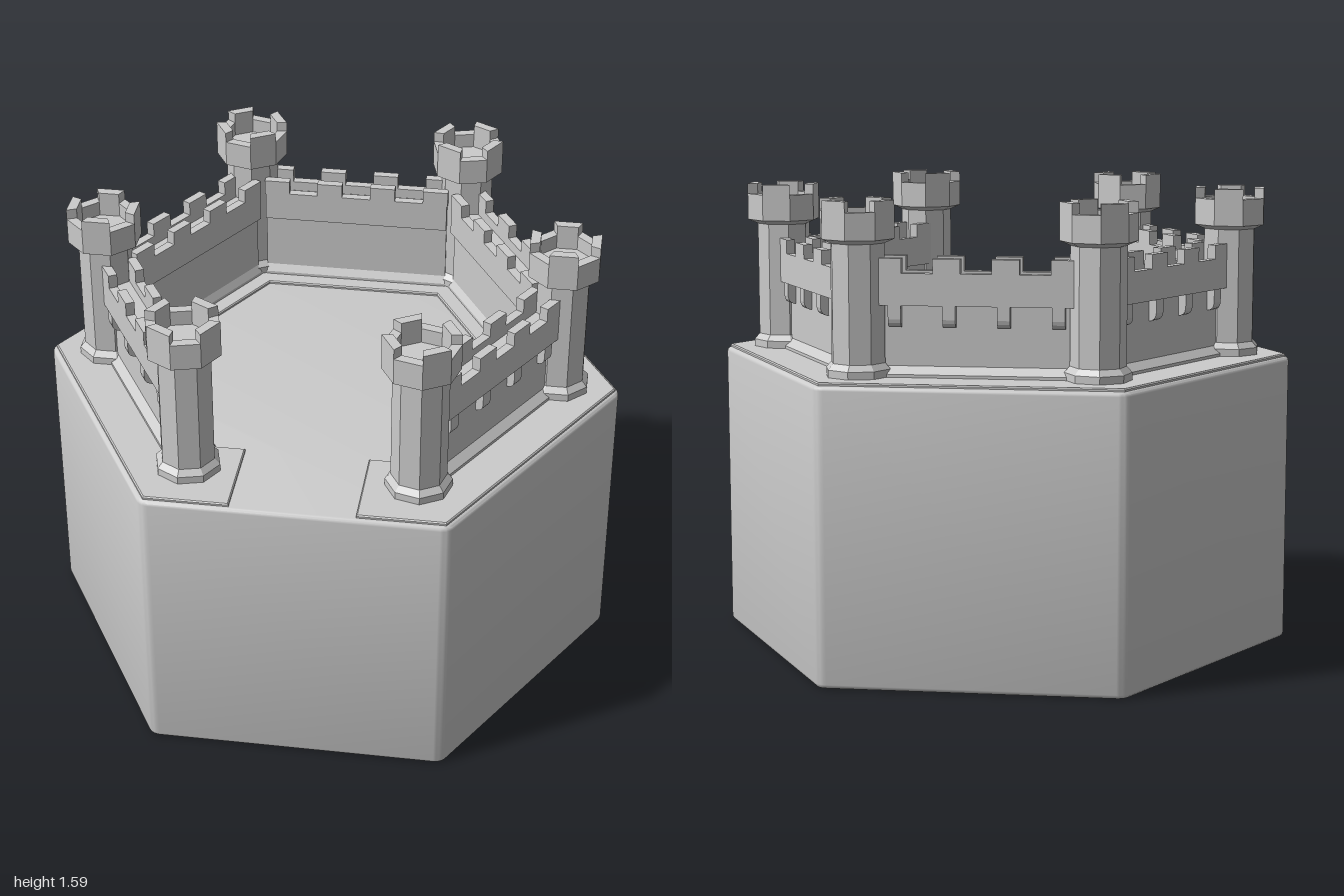
import * as THREE from 'three';
import { toCreasedNormals } from 'three/addons/utils/BufferGeometryUtils.js';

const STEP = Math.PI / 3;
const DECK = 1.01;

export function createModel() {
  const model = new THREE.Group();
  const stone = new THREE.MeshStandardMaterial({ color: 0xcccccc });
  const faceted = new THREE.MeshStandardMaterial({ color: 0xcccccc, flatShading: true });

  const add = (parent, name, geometry, material = faceted) => {
    const mesh = new THREE.Mesh(geometry, material);
    mesh.name = name;
    parent.add(mesh);
    return mesh;
  };
  const group = (name) => {
    const g = new THREE.Group();
    g.name = name;
    model.add(g);
    return g;
  };
  // corner k of a hexagon, counted from the front towards the left
  const corner = (r, k) => new THREE.Vector2(r * Math.sin(k * STEP), r * Math.cos(k * STEP));
  // extrudes a plan drawn in (x, z) upwards from y0 to y1
  const slab = (shape, y0, y1, bevel = 0, segments = 3) => {
    const g = new THREE.ExtrudeGeometry(shape, {
      depth: y1 - y0 - 2 * bevel, bevelEnabled: bevel > 0, bevelSize: bevel,
      bevelThickness: bevel, bevelSegments: segments, curveSegments: 5,
    });
    return g.rotateX(-Math.PI / 2).translate(0, y0 + bevel, 0);
  };
  const plan = (points) => new THREE.Shape(points.map((p) => new THREE.Vector2(p.x, -p.y)));

  // hexagonal plinth with softened edges
  const hex = new THREE.Shape();
  for (let k = 0; k < 6; k++) {
    const c = corner(0.986, k);
    const a = c.clone().lerp(corner(0.986, k - 1), 0.02);
    const b = c.clone().lerp(corner(0.986, k + 1), 0.02);
    if (k === 0) hex.moveTo(a.x, -a.y);
    else hex.lineTo(a.x, -a.y);
    hex.quadraticCurveTo(c.x, -c.y, b.x, -b.y);
  }
  hex.closePath();
  add(model, 'plinth', toCreasedNormals(slab(hex, 0, 1.0, 0.015), 0.6), stone);

  // raised rampart deck around the sunken courtyard, open at the gate road
  const along = (r, t) => corner(r, 0).lerp(corner(r, 1), t);
  const deck = [along(0.98, 0.28)];
  for (let k = 6; k >= 1; k--) deck.push(corner(0.98, k));
  deck.push(along(0.98, 0.71), along(0.625, 0.83));
  for (let k = 1; k <= 6; k++) deck.push(corner(0.625, k));
  deck.push(along(0.625, 0.155));
  add(model, 'rampartDeck', slab(plan(deck), 0.98, DECK, 0.004, 1));

  // eight-sided towers with hollow crenellated heads
  const wide = 1 / Math.cos(Math.PI / 8);
  const towerProfile = [
    [0, 1.0], [0.102, 1.0], [0.102, 1.035], [0.085, 1.055], [0.085, 1.445],
    [0.117, 1.46], [0.117, 1.55], [0.084, 1.55], [0.084, 1.5], [0, 1.5],
  ].map(([r, y]) => new THREE.Vector2(r * wide, y));
  const towerGeo = new THREE.LatheGeometry(towerProfile, 8, Math.PI / 8);
  const ringPoint = (r, a) => new THREE.Vector2(r * wide * Math.sin(a), r * wide * Math.cos(a));
  const e = Math.PI / 8;
  const towerMerlon = slab(plan([
    ringPoint(0.117, -e), ringPoint(0.117, e), ringPoint(0.084, e), ringPoint(0.084, -e),
  ]), 1.545, 1.585);
  for (let k = 0; k < 6; k++) {
    const tower = group('tower');
    const p = corner(k < 2 ? 0.76 : 0.785, k);
    tower.position.set(p.x, 0, p.y);
    tower.rotation.y = k * STEP;
    add(tower, 'towerShaft', towerGeo);
    for (let i = 0; i < 4; i++) {
      add(tower, 'towerMerlon', towerMerlon).rotation.y = i * Math.PI / 2;
    }
  }

  // wall section: x outwards, overhanging parapets on both sides of a walkway
  const section = new THREE.Shape([
    [0.593, 1.0], [0.593, 1.02], [0.608, 1.045], [0.608, 1.245], [0.592, 1.245],
    [0.592, 1.35], [0.623, 1.35], [0.623, 1.315], [0.687, 1.315], [0.687, 1.35],
    [0.718, 1.35], [0.718, 1.245], [0.685, 1.245], [0.685, 1.045], [0.712, 1.02], [0.712, 1.0],
  ].map(([x, y]) => new THREE.Vector2(x, y)));
  const length = 0.66;
  const wallGeo = new THREE.ExtrudeGeometry(section, { depth: length, bevelEnabled: false })
    .translate(0, 0, -length / 2);
  const merlonGeo = new THREE.BoxGeometry(0.031, 0.055, 0.09);

  // corbel: bracket with a rounded foot
  const foot = new THREE.Shape();
  foot.moveTo(0.68, 1.25);
  foot.lineTo(0.714, 1.25);
  foot.lineTo(0.714, 1.2);
  foot.quadraticCurveTo(0.712, 1.172, 0.68, 1.172);
  foot.closePath();
  const corbelGeo = new THREE.ExtrudeGeometry(foot, { depth: 0.042, bevelEnabled: false, curveSegments: 4 })
    .translate(0, 0, -0.021);

  // five walls; the front-left side stays open as the gate
  for (let k = 1; k < 6; k++) {
    const wall = group('wall');
    wall.rotation.y = (k + 0.5) * STEP - Math.PI / 2;
    add(wall, 'wallBody', wallGeo);
    for (const x of [0.6075, 0.7025]) {
      for (let i = 0; i < 4; i++) {
        add(wall, 'wallMerlon', merlonGeo).position.set(x, 1.3705, (i - 1.5) * 0.192);
      }
    }
    for (let i = 0; i < 4; i++) {
      add(wall, 'corbel', corbelGeo).position.z = (i - 1.5) * 0.178;
    }
  }
  return model;
}
